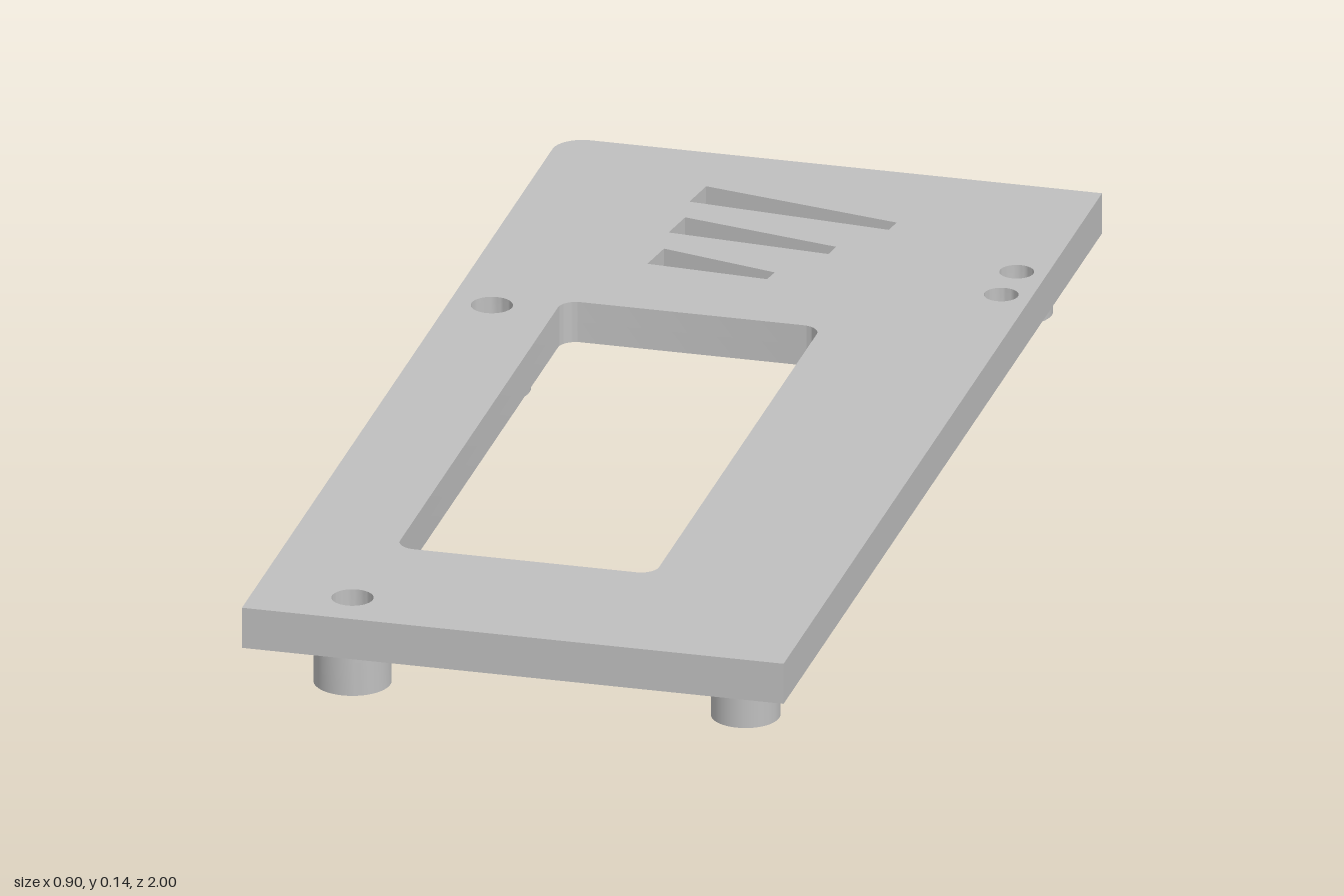
import * as THREE from 'three';
import { toCreasedNormals } from 'three/addons/utils/BufferGeometryUtils.js';

const W = 0.45, L = 1;                            // half width, half length
const BOTTOM = 0.075, FLOOR = 0.11, TOP = 0.145;  // plate underside, slot floor, plate top

// Shapes are drawn in (x, -z) and extruded upwards.
const circle = (x, z, r) => new THREE.Path().absarc(x, -z, r, 0, Math.PI * 2, false);
const polygon = (pts) => new THREE.Path(pts.map(([x, z]) => new THREE.Vector2(x, -z)));

function slab(shape, y0, y1) {
  const g = new THREE.ExtrudeGeometry(shape, { depth: y1 - y0, bevelEnabled: false, curveSegments: 20 });
  g.rotateX(-Math.PI / 2).translate(0, y0, 0);
  return toCreasedNormals(g, 0.6);
}

function roundedRect(x0, x1, z0, z1, r) {
  const p = new THREE.Path();
  p.absarc(x1 - r, -z0 - r, r, 0, Math.PI / 2, false);
  p.absarc(x0 + r, -z0 - r, r, Math.PI / 2, Math.PI, false);
  p.absarc(x0 + r, -z1 + r, r, Math.PI, Math.PI * 1.5, false);
  p.absarc(x1 - r, -z1 + r, r, Math.PI * 1.5, Math.PI * 2, false);
  p.closePath();
  return p;
}

// Plate outline with one rounded corner and all through openings
function plateShape() {
  const s = new THREE.Shape();
  const r = 0.05;
  s.moveTo(-W, -L);
  s.lineTo(W, -L);
  s.lineTo(W, L);
  s.lineTo(-W + r, L);
  s.absarc(-W + r, L - r, r, Math.PI / 2, Math.PI, false);
  s.closePath();
  s.holes.push(
    roundedRect(-0.275, 0.155, -0.353, 0.697, 0.03),
    circle(-0.38, -0.305, 0.034),
    circle(-0.289, 0.914, 0.034),
    circle(0.4, -0.653, 0.028),
    circle(0.4, -0.556, 0.028),
  );
  return s;
}

export function createModel() {
  const group = new THREE.Group();
  const grey = new THREE.MeshStandardMaterial({ color: 0xbfbfbf });
  grey.name = 'grey';
  const add = (name, geometry) => {
    const mesh = new THREE.Mesh(geometry, grey);
    mesh.name = name;
    group.add(mesh);
    return mesh;
  };

  // Lower layer closes the slots, upper layer is cut by them
  add('plateLower', slab(plateShape(), BOTTOM, FLOOR));
  const upper = plateShape();
  const slots = [
    [[-0.172, -0.865], [0.162, -0.799], [0.157, -0.767], [-0.182, -0.797]],
    [[-0.172, -0.733], [0.093, -0.678], [0.089, -0.646], [-0.182, -0.666]],
    [[-0.172, -0.6], [0.025, -0.551], [0.02, -0.521], [-0.182, -0.533]],
  ];
  slots.forEach((pts) => upper.holes.push(polygon(pts)));
  add('plateUpper', slab(upper, FLOOR, TOP));

  // Hollow standoffs under the screw holes
  [[-0.38, -0.305], [-0.289, 0.914]].forEach(([x, z]) => {
    const ring = new THREE.Shape().absarc(x, -z, 0.063, 0, Math.PI * 2, false);
    ring.holes.push(circle(x, z, 0.034));
    add('hollowStandoff', slab(ring, 0, BOTTOM));
  });

  // Solid feet
  [[0.357, -0.825], [0.357, 0.887]].forEach(([x, z]) => {
    add('solidFoot', new THREE.CylinderGeometry(0.056, 0.056, BOTTOM, 40)).position.set(x, BOTTOM / 2, z);
  });

  return group;
}
